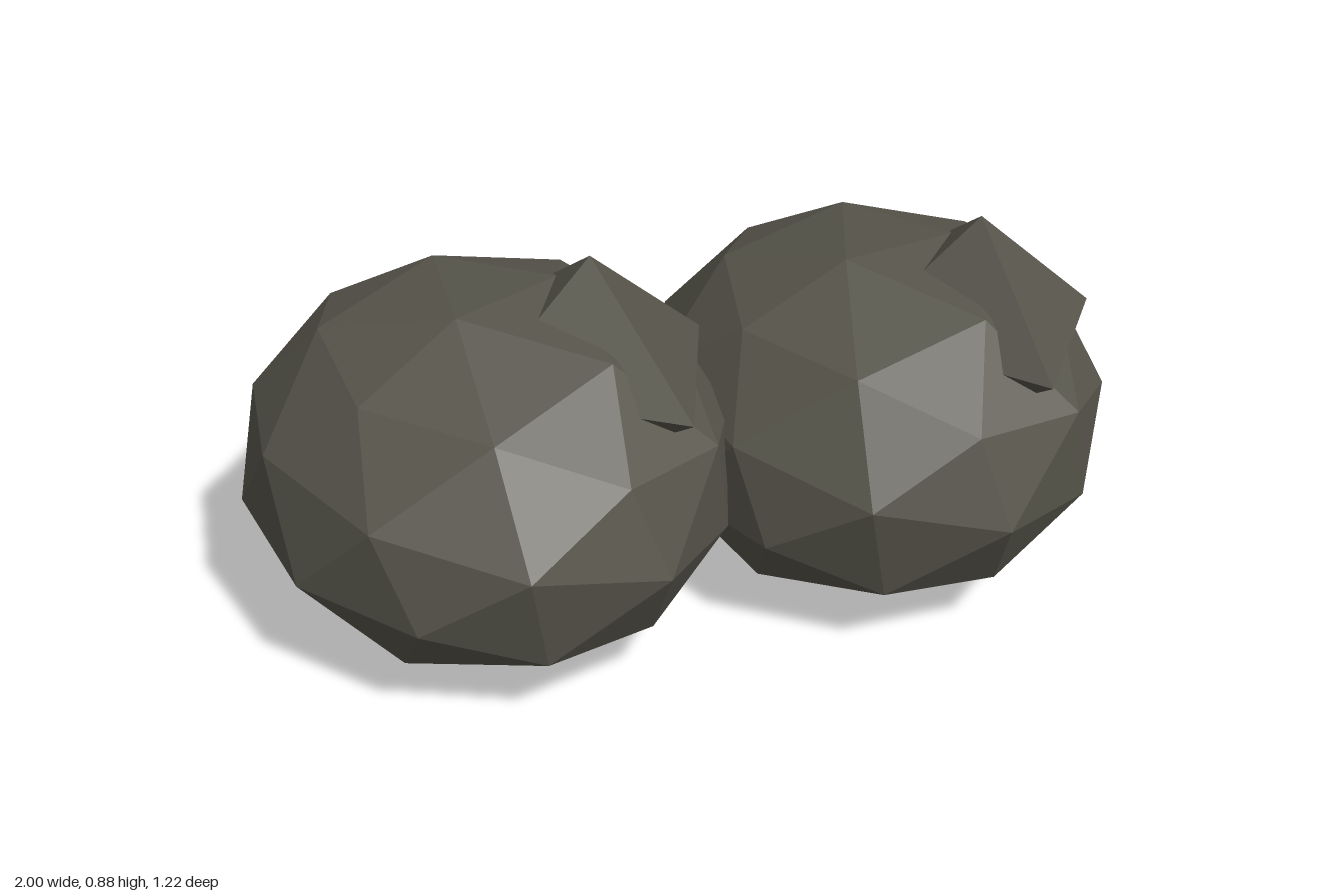
import * as THREE from 'three';

export function createModel() {
  const model = new THREE.Group();
  model.name = 'boulderPair';
  const stone = new THREE.MeshStandardMaterial({ name: 'darkStone', color: 0x56544a, flatShading: true });

  // Faceted boulder: an icosphere whose three axes are tilted and squashed into a leaning ellipsoid
  const lengthAxis = new THREE.Vector3(0.092, -0.056, 0.608);
  const widthAxis = new THREE.Vector3(0.518, 0.13, -0.065);
  const heightAxis = new THREE.Vector3(-0.087, 0.386, 0.054);
  const boulderGeometry = new THREE.IcosahedronGeometry(1, 1)
    .applyMatrix4(new THREE.Matrix4().makeBasis(lengthAxis, widthAxis, heightAxis));
  boulderGeometry.computeVertexNormals();

  // Pointed outcrop: a stretched octahedron half sunk into the boulder
  const outcropGeometry = new THREE.OctahedronGeometry(1, 0).scale(0.295, 0.25, 0.39);
  outcropGeometry.computeVertexNormals();

  function addRock(name, x, turn) {
    const rock = new THREE.Group();
    rock.name = name;
    const boulder = new THREE.Mesh(boulderGeometry, stone);
    boulder.name = 'boulder';
    const outcrop = new THREE.Mesh(outcropGeometry, stone);
    outcrop.name = 'outcrop';
    outcrop.position.set(0.21, 0.235, 0.13);
    rock.add(boulder, outcrop);
    rock.position.set(x, 0.4, 0);
    rock.rotation.y = turn;
    model.add(rock);
  }

  // The same rock twice, the second one turned a little
  addRock('leftRock', 0.48, 0);
  addRock('rightRock', -0.456, THREE.MathUtils.degToRad(17));
  return model;
}
